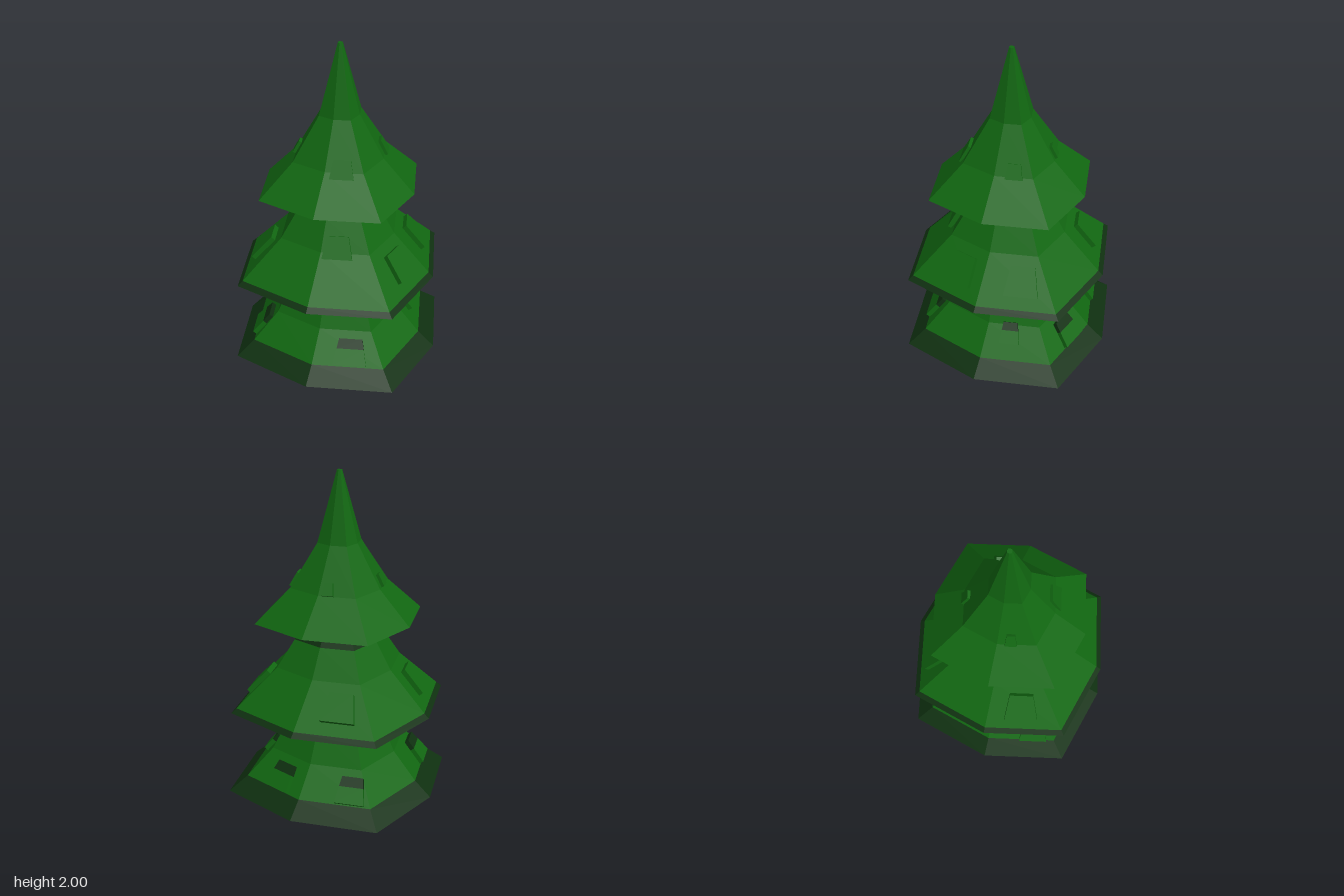
import * as THREE from 'three';

const K = 0.62; // diagonal corner coordinate relative to the axis corner
const mat = (name, color) => {
  const m = new THREE.MeshStandardMaterial({ color, flatShading: true });
  m.name = name;
  return m;
};
const green = mat('needle green', 0x116711);
const dark = mat('shaded green', 0x0f3010);
const brown = mat('bark brown', 0x63412f);

function add(parent, name, geo, material) {
  const mesh = new THREE.Mesh(geo, material);
  mesh.name = name;
  parent.add(mesh);
}

// Eight-sided ring stack from bottom-to-top [radius, y] points, diagonals pulled in
function octagon(...profile) {
  const geo = new THREE.LatheGeometry(profile.map(([r, y]) => new THREE.Vector2(r, y)), 8);
  const p = geo.attributes.position;
  const squeeze = K * Math.SQRT2;
  for (let i = 0; i < p.count; i++) {
    if (Math.floor(i / profile.length) % 2) {
      p.setXYZ(i, p.getX(i) * squeeze, p.getY(i), p.getZ(i) * squeeze);
    }
  }
  return geo;
}

// Trapezoid slab, from v0 to v1 of its height
function slab(w, h, v0, v1, depth) {
  const half = (v) => (w / 2) * (1 - 0.3 * v);
  const s = new THREE.Shape();
  s.moveTo(-half(v0), (v0 - 0.5) * h);
  s.lineTo(half(v0), (v0 - 0.5) * h);
  s.lineTo(half(v1), (v1 - 0.5) * h);
  s.lineTo(-half(v1), (v1 - 0.5) * h);
  s.closePath();
  const g = new THREE.ExtrudeGeometry(s, { depth: depth + 0.02, bevelEnabled: false });
  return g.translate(0, 0, -0.02);
}

// Matrix placing a slab on one facet: quarter turn, sideways offset t, height y
function facetMatrix(quarter, t, y, radius, slope) {
  const s = Math.sign(t);
  const tangent = new THREE.Vector3(K, 0, (K - 1) * s).normalize();
  const out = new THREE.Vector3((1 - K) * s, 0, K).normalize();
  const up = new THREE.Vector3(0, 1, 0).addScaledVector(out, -slope * out.z).normalize();
  const normal = new THREE.Vector3().crossVectors(tangent, up);
  const m = new THREE.Matrix4().makeBasis(tangent, up, normal);
  m.setPosition(t, y, radius - (Math.abs(t) * (1 - K)) / K);
  return new THREE.Matrix4().makeRotationY((quarter * Math.PI) / 2).multiply(m);
}

// One tier's green slope; returns a function that lays a tuft on it
function addBoughs(group, depth, split, ...profile) {
  add(group, 'boughs', octagon(...profile), green);
  return (quarter, t, y, w, h) => {
    const i = profile.findIndex((point) => point[1] > y);
    const [r0, y0] = profile[i - 1];
    const [r1, y1] = profile[i];
    const slope = (r0 - r1) / (y1 - y0);
    const place = facetMatrix(quarter, t, y, r0 - slope * (y - y0), slope);
    const length = h * Math.hypot(1, slope * 0.853);
    add(group, 'tuft', slab(w, length, 0, split, depth).applyMatrix4(place), green);
    if (split < 1) {
      add(group, 'tuftTip', slab(w, length, split, 1, depth).applyMatrix4(place), dark);
    }
  };
}

export function createModel() {
  const tree = new THREE.Group();
  tree.name = 'pineTree';
  const tier = (name) => {
    const group = new THREE.Group();
    group.name = name;
    tree.add(group);
    return group;
  };

  add(tree, 'trunk', octagon([0, 0], [0.155, 0], [0.122, 0.26]), brown);

  // Lower tier: wide dark rim, dark-tipped tufts
  const lower = tier('lowerTier');
  add(lower, 'rim', octagon([0, 0.25], [0.64, 0.25], [0.535, 0.33]), dark);
  add(lower, 'collar', octagon([0.292, 0.65], [0.248, 0.73]), dark);
  const lowerTuft = addBoughs(lower, 0.025, 0.62, [0.535, 0.33], [0.385, 0.48], [0.292, 0.65]);
  lowerTuft(0, -0.13, 0.39, 0.18, 0.11);
  lowerTuft(1, -0.15, 0.445, 0.11, 0.09);
  lowerTuft(1, 0.17, 0.39, 0.16, 0.11);
  lowerTuft(2, -0.07, 0.39, 0.16, 0.11);
  lowerTuft(3, -0.08, 0.39, 0.16, 0.11);

  // Middle tier: thin dark rim, one high tuft and one tuft per side
  const middle = tier('middleTier');
  add(middle, 'rim', octagon([0, 0.725], [0.61, 0.725], [0.58, 0.75]), dark);
  add(middle, 'collar', octagon([0.25, 1.11], [0.175, 1.22]), dark);
  const middleTuft = addBoughs(middle, 0.027, 1, [0.58, 0.75], [0.35, 0.96], [0.25, 1.11]);
  middleTuft(0, -0.135, 0.985, 0.16, 0.105);
  [0.17, -0.11, -0.12, -0.14].forEach((t, quarter) => middleTuft(quarter, t, 0.858, 0.18, 0.115));

  // Top tier: green lip underneath, small tufts, pointed tip
  const top = tier('topTier');
  add(top, 'underside', octagon([0, 1.22], [0.32, 1.22]), dark);
  const topTuft = addBoughs(top, 0.016, 1,
    [0.32, 1.22], [0.465, 1.22], [0.27, 1.4], [0.12, 1.63], [0.014, 2], [0, 2]);
  topTuft(0, -0.09, 1.412, 0.125, 0.085);
  topTuft(1, -0.075, 1.425, 0.09, 0.07);
  topTuft(2, -0.115, 1.43, 0.06, 0.06);
  topTuft(3, -0.1, 1.43, 0.06, 0.06);

  return tree;
}
